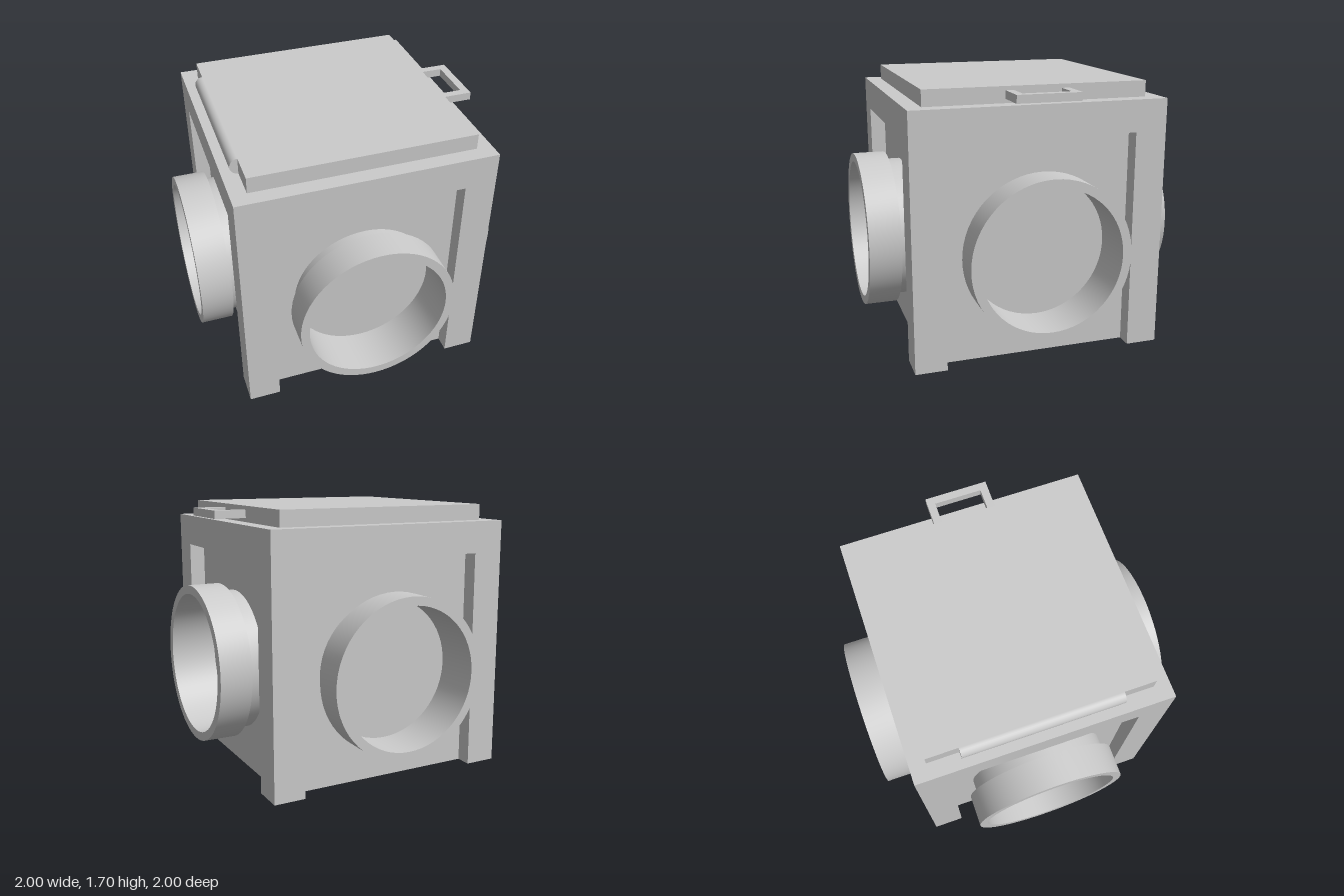
import * as THREE from 'three';
import { toCreasedNormals } from 'three/addons/utils/BufferGeometryUtils.js';

const material = new THREE.MeshStandardMaterial({ color: 0xcccccc });

function add(parent, name, geometry, x = 0, y = 0, z = 0) {
  const mesh = new THREE.Mesh(geometry, material);
  mesh.name = name;
  mesh.position.set(x, y, z);
  parent.add(mesh);
  return mesh;
}

// Extrude a plan outline (x, -z) straight up from y = 0
function extrudeUp(shape, height) {
  return new THREE.ExtrudeGeometry(shape, { depth: height, bevelEnabled: false }).rotateX(-Math.PI / 2);
}

// Square plan with a shallow recess in each side, leaving four corner posts
function bodyPlan() {
  const points = [];
  for (let i = 0; i < 4; i++) {
    const a = (i * Math.PI) / 2;
    for (const [x, y] of [[0.8, -0.6], [0.7, -0.6], [0.7, 0.6], [0.8, 0.6], [0.8, 0.8]]) {
      points.push(new THREE.Vector2(x, y).rotateAround(new THREE.Vector2(), a));
    }
  }
  return new THREE.Shape(points);
}

// Round port: thin neck in the recess, thicker collar outside, axis along +z
function portGeometry() {
  const profile = [
    [0.445, 0.7], [0.45, 0.7], [0.45, 0.8], [0.5, 0.8], [0.5, 1], [0.445, 1], [0.445, 0.7],
  ].map(([r, d]) => new THREE.Vector2(r, d));
  return toCreasedNormals(new THREE.LatheGeometry(profile, 64).rotateX(Math.PI / 2), 0.6);
}

export function createModel() {
  const model = new THREE.Group();
  model.name = 'portedBox';

  // Body
  add(model, 'body', extrudeUp(bodyPlan(), 1.4));
  add(model, 'bodyTop', new THREE.BoxGeometry(1.6, 0.2, 1.6), 0, 1.5, 0);

  // One port per side
  const port = portGeometry();
  ['frontPort', 'leftPort', 'backPort', 'rightPort'].forEach((name, i) => {
    add(model, name, port, 0, 0.7, 0).rotation.y = (i * Math.PI) / 2;
  });

  // Lid with its hinge barrel
  add(model, 'lid', new THREE.BoxGeometry(1.4, 0.1, 1.4), 0, 1.65, 0);
  add(model, 'hinge', new THREE.CylinderGeometry(0.05, 0.05, 1, 32).rotateX(Math.PI / 2), -0.7, 1.65, 0);

  // Lid handle: two arms and a grip
  const handle = new THREE.Group();
  handle.name = 'handle';
  for (const side of [-1, 1]) {
    add(handle, 'handleArm', new THREE.BoxGeometry(0.15, 0.05, 0.05), 0.775, 1.65, side * 0.175);
  }
  add(handle, 'handleGrip', new THREE.BoxGeometry(0.05, 0.05, 0.4), 0.875, 1.65, 0);
  model.add(handle);

  return model;
}
